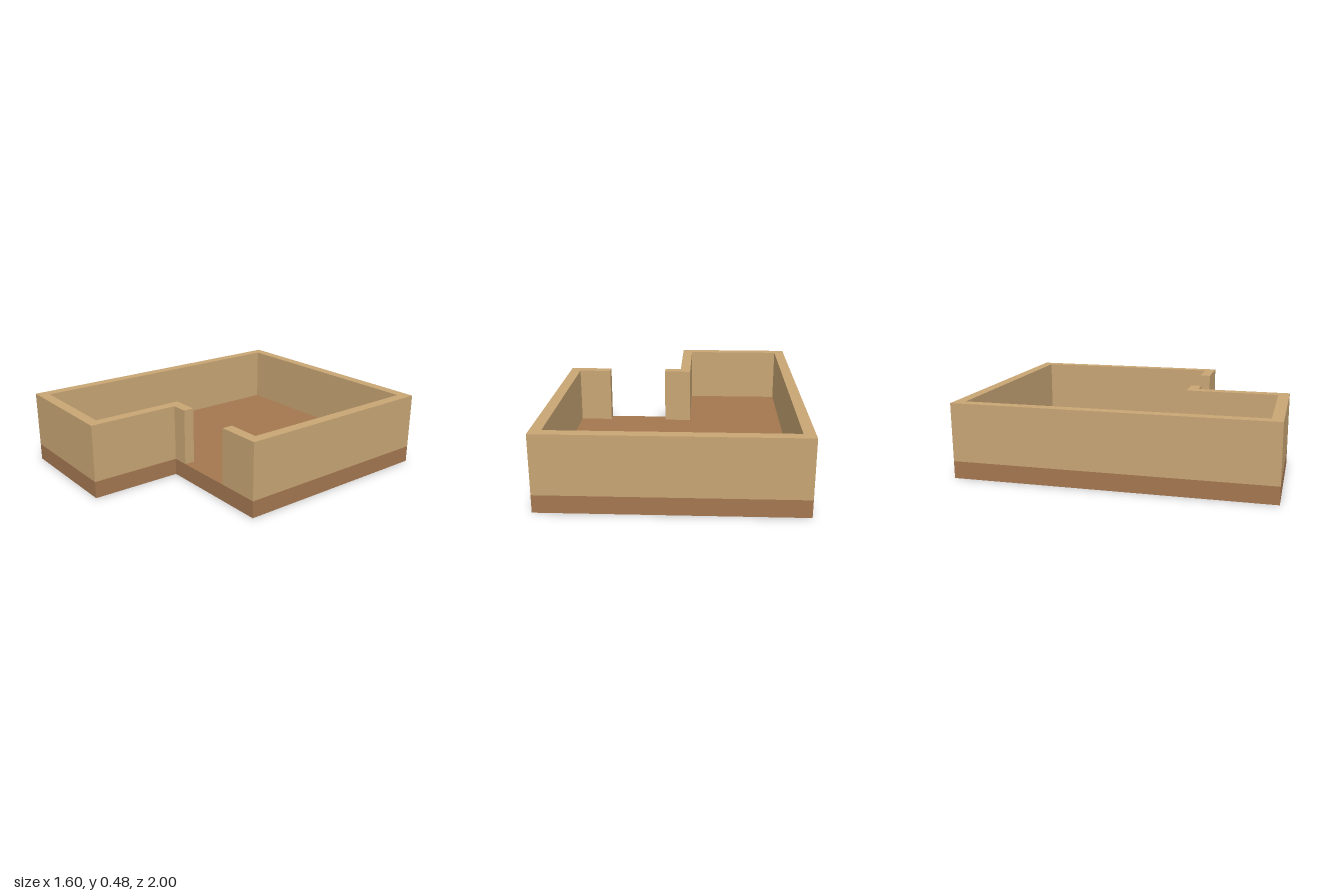
import * as THREE from 'three';

const FLOOR_Y = 0.11, TOP_Y = 0.48, T = 0.07;
const DOOR_L = 0.112, DOOR_R = 0.512;

// Plan outlines as [x, z], all in the same winding (clockwise seen from above)
const outer = [[0, 0.4], [0, 1], [-0.8, 1], [-0.8, -1], [0.8, -1], [0.8, 0.4]];
const inner = [
  [0.8 - T, 0.4 - T], [0.8 - T, -1 + T], [-0.8 + T, -1 + T],
  [-0.8 + T, 1 - T], [-T, 1 - T], [-T, 0.4 - T],
];
const wallPlan = [
  [DOOR_L, 0.4], ...outer, [DOOR_R, 0.4], [DOOR_R, 0.4 - T],
  ...inner, [DOOR_L, 0.4 - T],
];
const floorPlan = [
  ...inner, [DOOR_L, 0.4 - T], [DOOR_L, 0.4], [DOOR_R, 0.4], [DOOR_R, 0.4 - T],
];

// Vertical faces standing on a closed plan outline
function sideFaces(plan, y0, y1) {
  const pos = [];
  plan.forEach(([ax, az], i) => {
    const [bx, bz] = plan[(i + 1) % plan.length];
    pos.push(bx, y0, bz, ax, y0, az, ax, y1, az);
    pos.push(bx, y0, bz, ax, y1, az, bx, y1, bz);
  });
  const geo = new THREE.BufferGeometry();
  geo.setAttribute('position', new THREE.Float32BufferAttribute(pos, 3));
  geo.computeVertexNormals();
  return geo;
}

// Horizontal face filling a plan outline
function flatFace(plan, y) {
  const shape = new THREE.Shape(plan.map(([x, z]) => new THREE.Vector2(x, -z)));
  return new THREE.ShapeGeometry(shape).rotateX(-Math.PI / 2).translate(0, y, 0);
}

export function createModel() {
  const group = new THREE.Group();
  group.name = 'roofless L-shaped room';

  const wallTan = new THREE.MeshStandardMaterial({ color: 0xc8a574, side: THREE.DoubleSide });
  wallTan.name = 'wall tan';
  const baseBrown = new THREE.MeshStandardMaterial({ color: 0xa47750, side: THREE.DoubleSide });
  baseBrown.name = 'base brown';

  const add = (name, geometry, material) => {
    const mesh = new THREE.Mesh(geometry, material);
    mesh.name = name;
    group.add(mesh);
  };

  // Hollow base band, open underneath
  add('baseSkirt', sideFaces(outer, 0, FLOOR_Y), baseBrown);
  // Floor, running out through the doorway
  add('floor', flatFace(floorPlan, FLOOR_Y), baseBrown);
  // Wall shell with a doorway gap, open at the bottom
  add('wallSides', sideFaces(wallPlan, FLOOR_Y, TOP_Y), wallTan);
  add('wallTop', flatFace(wallPlan, TOP_Y), wallTan);

  return group;
}
